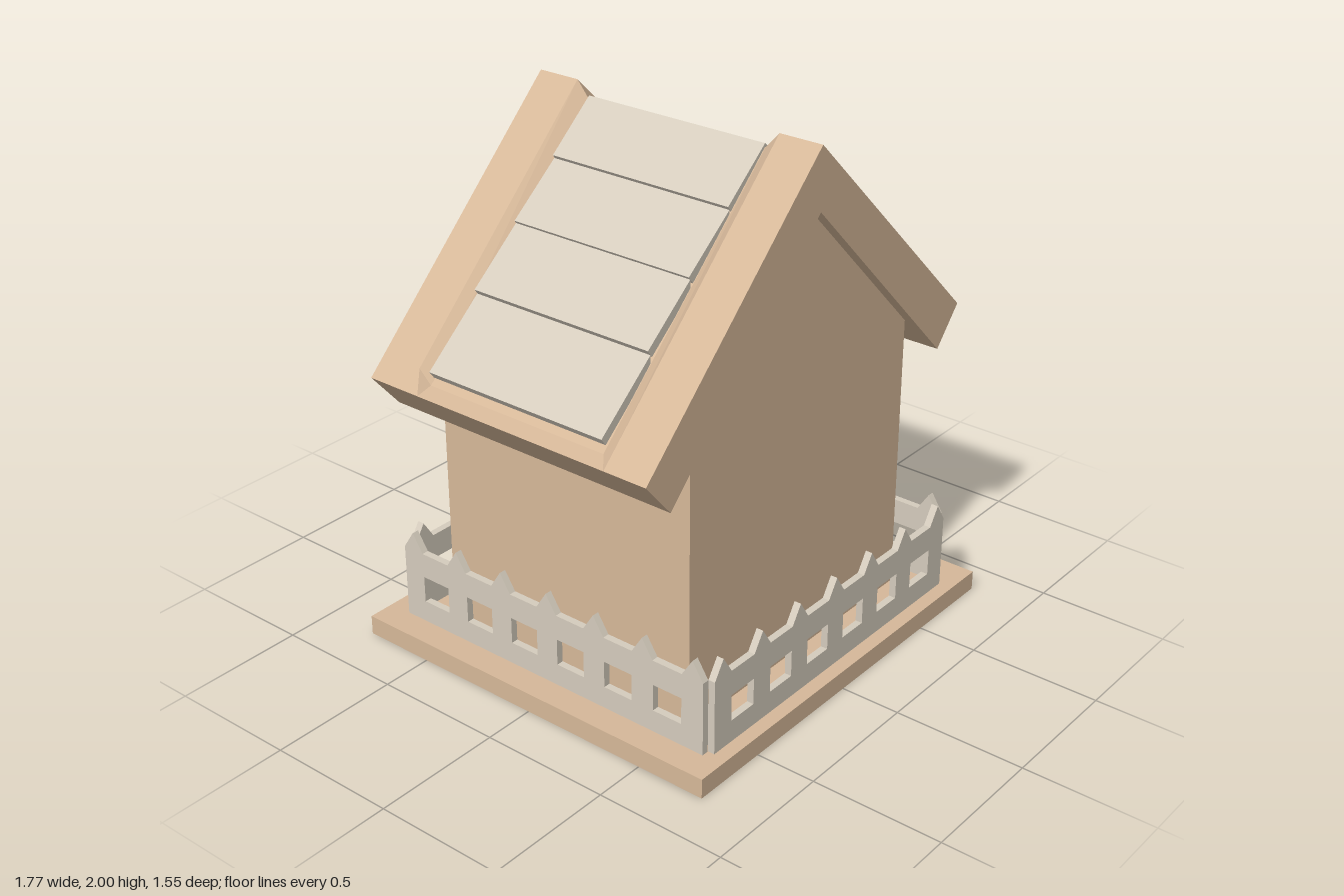
import * as THREE from 'three';

export function createModel() {
  const model = new THREE.Group();
  const wood = new THREE.MeshStandardMaterial({ color: 0xd6b899 });
  wood.name = 'tan wood';
  const paint = new THREE.MeshStandardMaterial({ color: 0xd5ccbd });
  paint.name = 'pale grey paint';

  const add = (name, geometry, material, x = 0, y = 0, z = 0) => {
    const mesh = new THREE.Mesh(geometry, material);
    mesh.name = name;
    mesh.position.set(x, y, z);
    model.add(mesh);
    return mesh;
  };
  const rect = (x0, x1, y0, y1, Type = THREE.Path) => new Type([
    [x0, y0], [x1, y0], [x1, y1], [x0, y1],
  ].map(p => new THREE.Vector2(...p)));
  const polygon = pts => new THREE.Shape(pts.map(p => new THREE.Vector2(...p)));
  const extrude = (shape, depth, options = {}) =>
    new THREE.ExtrudeGeometry(shape, { depth, bevelEnabled: false, curveSegments: 24, ...options });

  // Base board
  add('base', new THREE.BoxGeometry(1.66, 0.075, 1.55), wood, 0.025, 0.0375, -0.005);

  // Pane openings of the door and the window, cut through the back wall as well
  const panes = (xs, ys) => xs.flatMap(([x0, x1]) => ys.map(([y0, y1]) => [x0, x1, y0, y1]));
  const doorPanes = panes([[0.09, 0.235], [0.3, 0.45]], [[0.69, 0.805], [0.5, 0.61]]);
  const windowPanes = panes([[-0.425, -0.315], [-0.27, -0.16]], [[0.675, 0.835], [0.46, 0.62]]);
  const holeY = 1.24, holeR = 0.19;
  const circle = y => new THREE.Path().absarc(0, y, holeR, 0, Math.PI * 2, true);

  // Hollow house body
  const gable = () => polygon([[-0.61, 0.07], [0.61, 0.07], [0.61, 1.165], [0, 1.78], [-0.61, 1.165]]);
  const wall = 0.06;
  add('frontWall', extrude(gable(), wall), wood, 0, 0, 0.56 - wall);
  const back = gable();
  back.holes.push(circle(holeY), ...[...doorPanes, ...windowPanes].map(p => rect(...p)));
  add('backWall', extrude(back, wall), wood, 0, 0, -0.54);
  for (const side of [-1, 1]) {
    add(side < 0 ? 'rightWall' : 'leftWall',
      new THREE.BoxGeometry(wall, 1.05, 1.1 - 2 * wall), wood, side * (0.61 - wall / 2), 0.595, 0.01);
  }

  // Door, window and scalloped entrance ring on the back
  const plate = (name, outline, holes) => {
    const shape = rect(...outline, THREE.Shape);
    shape.holes.push(...holes.map(p => rect(...p)));
    add(name, extrude(shape, 0.014), paint, 0, 0, -0.552);
  };
  plate('door', [0.034, 0.51, 0.075, 0.87], doorPanes);
  plate('window', [-0.495, -0.1, 0.39, 0.89], windowPanes);

  const scallops = [];
  for (let i = 0; i < 100; i++) {
    const a = i / 100 * Math.PI * 2;
    const r = 0.243 + 0.014 * Math.cos(10 * a);
    scallops.push([r * Math.cos(a), r * Math.sin(a)]);
  }
  const ring = polygon(scallops);
  ring.holes.push(circle(0));
  add('entranceRing', extrude(ring, 0.024, {
    bevelEnabled: true, bevelThickness: 0.006, bevelSize: 0.006, bevelOffset: -0.006, bevelSegments: 2,
  }), paint, 0, holeY, -0.566);

  // Roof: chevron sections along z, sunk in the middle to form a bevelled tray
  const section = (eaveY, ridgeY) => [
    [0.765, 1], [0.885, 1.14], [0.82, eaveY], [0, ridgeY],
    [-0.82, eaveY], [-0.885, 1.14], [-0.765, 1], [0, 1.77],
  ];
  const high = section(1.203, 2), low = section(1.155, 1.94);
  const loft = [[-0.6, high], [-0.43, high], [-0.38, low], [0.38, low], [0.435, high], [0.607, high]];
  const positions = loft.flatMap(([z, pts]) => pts.flatMap(([x, y]) => [x, y, z]));
  const index = [];
  const n = high.length;
  for (let k = 0; k < loft.length - 1; k++) {
    for (let i = 0; i < n; i++) {
      const j = (i + 1) % n;
      const a = k * n + i, b = k * n + j;
      index.push(a, b, b + n, a, b + n, a + n);
    }
  }
  const last = (loft.length - 1) * n;
  const contour = high.map(p => new THREE.Vector2(...p));
  for (const [a, b, c] of THREE.ShapeUtils.triangulateShape(contour, [])) {
    index.push(a, c, b, last + a, last + b, last + c);
  }
  const indexed = new THREE.BufferGeometry();
  indexed.setAttribute('position', new THREE.Float32BufferAttribute(positions, 3));
  indexed.setIndex(index);
  const roof = indexed.toNonIndexed();
  roof.computeVertexNormals();
  add('roof', roof, wood);

  // Overlapping shingles, four rows on each slope: [x0, y0, x1, y1] of the top face
  const rows = [
    [0, 1.953, 0.192, 1.79], [0.185, 1.778, 0.392, 1.612],
    [0.385, 1.602, 0.597, 1.428], [0.585, 1.41, 0.826, 1.207],
  ];
  for (const side of [-1, 1]) {
    rows.forEach(([x0, y0, x1, y1], i) => {
      const pts = [[x0, y0], [x0, y0 - 0.04], [x1 - 0.02, y1 - 0.027], [x1, y1]];
      add(`shingle${side < 0 ? 'Right' : 'Left'}${i + 1}`,
        extrude(polygon(pts.map(([x, y]) => [side * x, y])), 0.756), paint, 0, 0, -0.378);
    });
  }

  // Picket fence panel with pointed tips and square openings
  const fence = half => {
    const step = (half - 0.045) / 3;
    const pts = [[-half, 0.075], [half, 0.075]];
    for (let i = 3; i >= -3; i--) {
      pts.push([i * step + 0.045, 0.36], [i * step, 0.43], [i * step - 0.045, 0.36]);
    }
    const shape = polygon(pts);
    for (let i = -3; i < 3; i++) {
      const c = (i + 0.5) * step;
      shape.holes.push(rect(c - 0.061, c + 0.061, 0.16, 0.263));
    }
    return extrude(shape, 0.027);
  };
  add('frontFence', fence(0.687), paint, 0.016, 0, 0.689);
  add('backFence', fence(0.687), paint, 0.016, 0, -0.691);
  for (const [name, x] of [['rightFence', -0.7], ['leftFence', 0.705]]) {
    add(name, fence(0.69), paint, x, 0, 0).rotation.y = Math.PI / 2;
  }
  return model;
}
